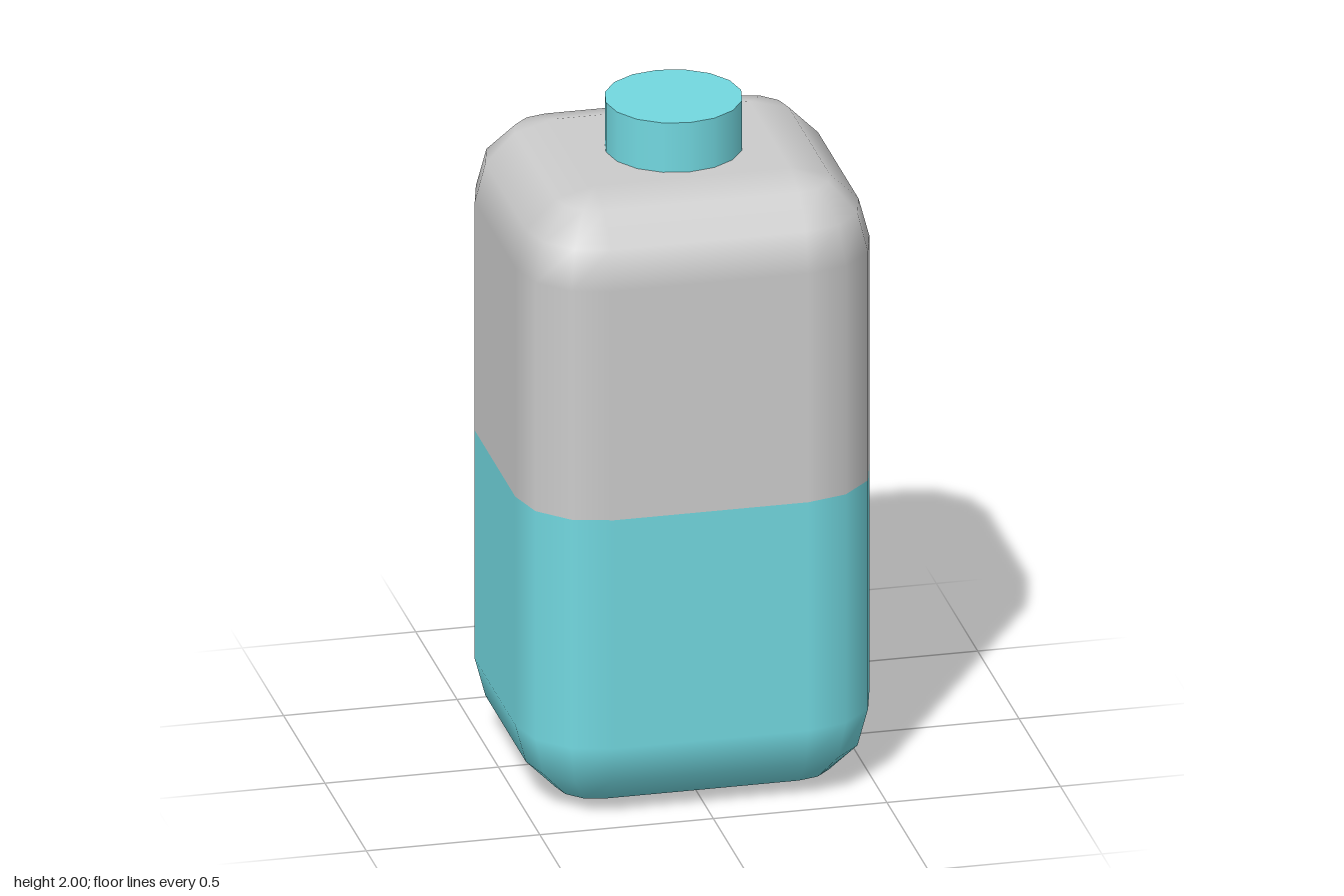
import * as THREE from 'three';

const HALF_X = 0.51, HALF_Z = 0.475, HEIGHT = 1.85, RADIUS = 0.23;
const STEPS = 3;                  // facets per rounded corner
const COUNT = 4 * (STEPS + 1);    // points per ring

export function createModel() {
  const model = new THREE.Group();
  const grey = new THREE.MeshStandardMaterial({ color: 0xcccccc });
  const teal = new THREE.MeshStandardMaterial({ color: 0x72d8e0 });

  // Body rings from bottom to top: [height, corner radius, normal tilt]
  const rings = [];
  for (let i = 0; i <= STEPS; i++) {
    const a = (i / STEPS) * Math.PI / 2;
    rings.push([RADIUS * (1 - Math.cos(a)), RADIUS * Math.sin(a), -Math.cos(a)]);
  }
  const mirrored = rings.map(([y, r, n]) => [HEIGHT - y, r, -n]).reverse();
  rings.push([HEIGHT / 2, RADIUS, 0], ...mirrored);

  // Shared vertices, with normals pointing away from each corner's centre
  const positions = [], normals = [];
  for (const [y, r, ny] of rings) {
    for (let j = 0; j < COUNT; j++) {
      const q = Math.floor(j / (STEPS + 1));
      const a = (q + (j % (STEPS + 1)) / STEPS) * Math.PI / 2;
      const sx = q === 0 || q === 3 ? 1 : -1, sz = q < 2 ? 1 : -1;
      const c = Math.cos(a), s = Math.sin(a), flat = r / RADIUS;
      positions.push(sx * (HALF_X - RADIUS) + c * r, y, sz * (HALF_Z - RADIUS) + s * r);
      normals.push(c * flat, ny, s * flat);
    }
  }
  const bottomCentre = positions.length / 3;
  positions.push(0, 0, 0, 0, HEIGHT, 0);
  normals.push(0, -1, 0, 0, 1, 0);
  const position = new THREE.Float32BufferAttribute(positions, 3);
  const normal = new THREE.Float32BufferAttribute(normals, 3);

  // Faces, sorted into the clear upper half, the filled lower half and a level strip
  const upper = [], lower = [], strip = [];
  const last = rings.length - 1, stripFacet = 2 * (STEPS + 1);
  for (let j = 0; j < COUNT; j++) {
    const k = (j + 1) % COUNT;
    for (let i = 0; i < last; i++) {
      const a = i * COUNT + j, b = i * COUNT + k, c = a + COUNT, d = b + COUNT;
      const part = i > STEPS ? upper : i === STEPS && j === stripFacet ? strip : lower;
      part.push(a, c, b, b, c, d);
    }
    lower.push(bottomCentre, j, k);
    upper.push(bottomCentre + 1, last * COUNT + k, last * COUNT + j);
  }

  const add = (name, geometry, material) => {
    const mesh = new THREE.Mesh(geometry, material);
    mesh.name = name;
    model.add(mesh);
    return mesh;
  };
  const bodyPart = (name, index, material) => {
    const geometry = new THREE.BufferGeometry();
    geometry.setAttribute('position', position);
    geometry.setAttribute('normal', normal);
    geometry.setIndex(index);
    add(name, geometry, material);
  };
  bodyPart('upperBody', upper, grey);
  bodyPart('lowerBody', lower, teal);
  bodyPart('cornerStrip', strip, grey);

  // Cap, set slightly forward and sunk into the top
  const cap = add('cap', new THREE.CylinderGeometry(0.195, 0.195, 0.2, 16), teal);
  cap.position.set(0, 1.9, 0.018);

  return model;
}
